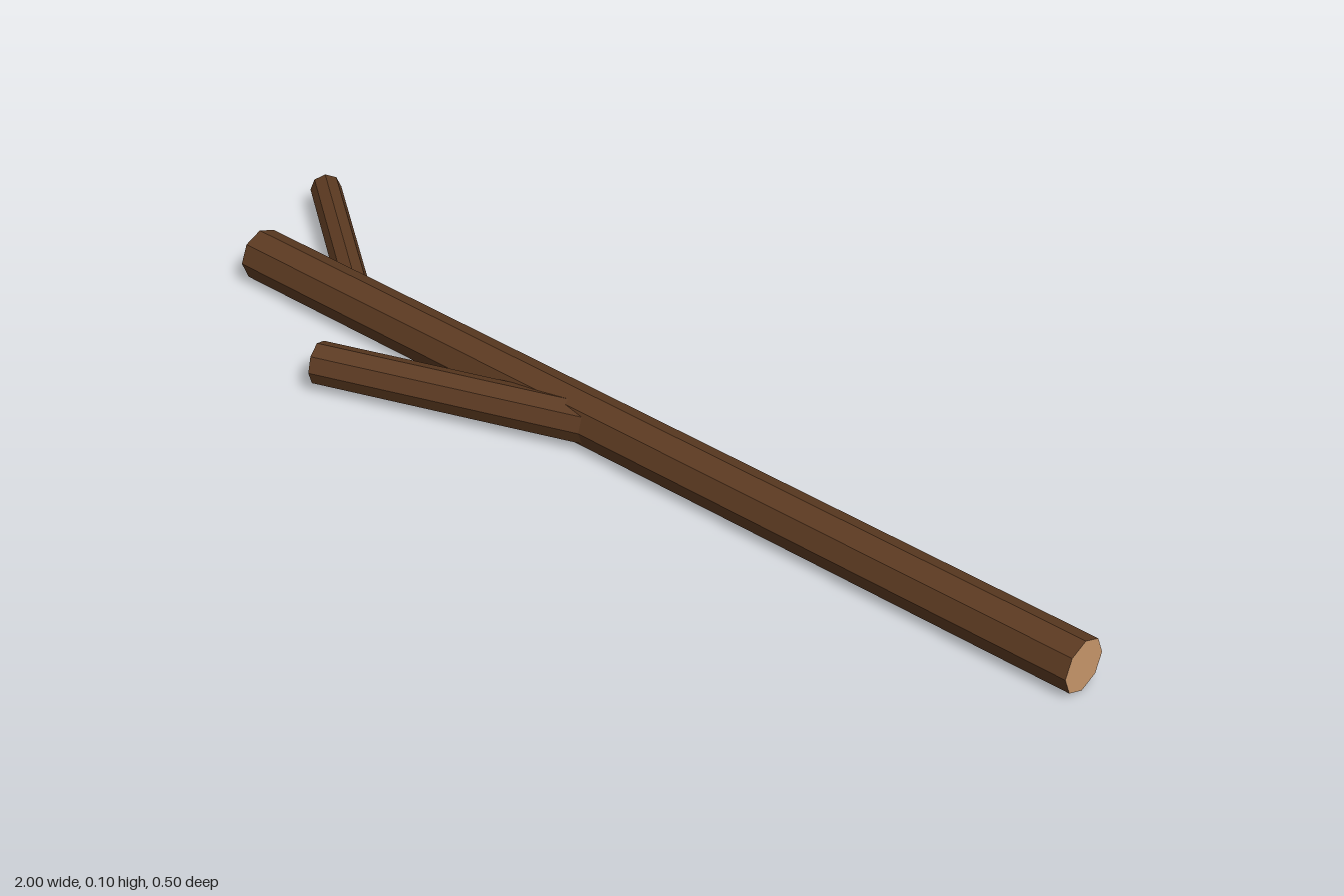
import * as THREE from 'three';

export function createModel() {
  const bark = new THREE.MeshStandardMaterial({ color: 0x5c3a21 });
  bark.name = 'bark';
  const cutWood = new THREE.MeshStandardMaterial({ color: 0xc8966a });
  cutWood.name = 'cutWood';

  const model = new THREE.Group();
  model.name = 'branchedLog';

  // Eight-sided log ending at (x, z), running back toward +x, turned by angle about y
  function addLog(name, radius, length, x, z, angle) {
    const geometry = new THREE.CylinderGeometry(radius, radius, length, 8)
      .translate(0, -length / 2, 0)
      .rotateZ(Math.PI / 2)
      .rotateY(angle)
      .toNonIndexed(); // separate faces give flat facets
    geometry.computeVertexNormals();
    // Bark on the sides, pale wood on both cut ends
    const log = new THREE.Mesh(geometry, [bark, cutWood, cutWood]);
    log.name = name;
    log.position.set(x, 0.05, z);
    model.add(log);
  }

  addLog('trunk', 0.05, 1.9, -0.9, 0.022, 0);
  addLog('frontBranch', 0.04, 0.55, -0.553, 0.213, THREE.MathUtils.degToRad(20));
  addLog('backBranch', 0.03, 0.415, -0.982, -0.229, THREE.MathUtils.degToRad(-36.5));

  return model;
}
